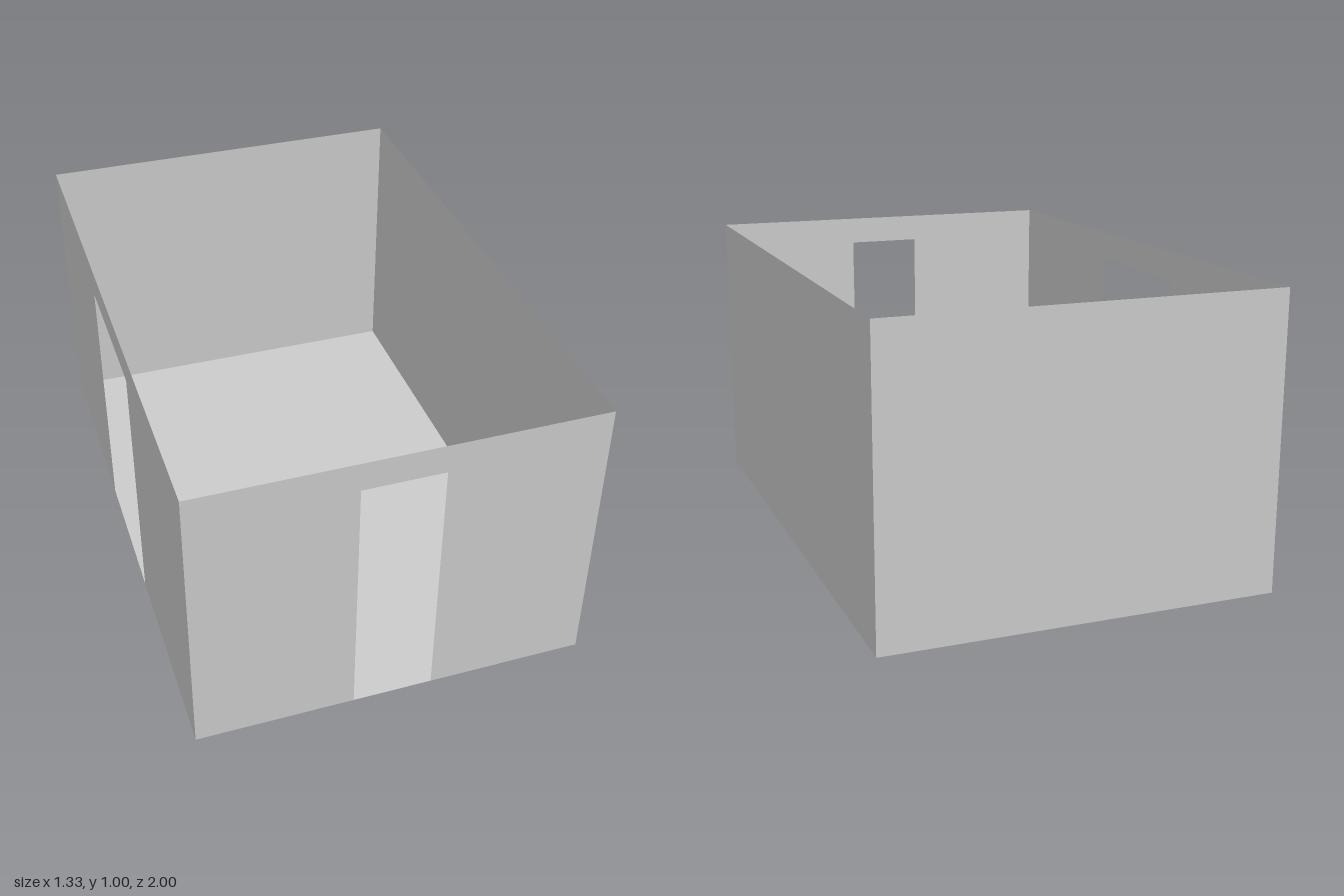
import * as THREE from 'three';

const WIDTH = 1.333, DEPTH = 2, HEIGHT = 1, DOOR_HEIGHT = 0.9;

// Thin upright wall standing on y = 0, with an optional centred doorway
function wallGeometry(length, doorWidth = 0) {
  const h = length / 2, d = doorWidth / 2;
  const outline = [[-h, 0]];
  if (d > 0) outline.push([-d, 0], [-d, DOOR_HEIGHT], [d, DOOR_HEIGHT], [d, 0]);
  outline.push([h, 0], [h, HEIGHT], [-h, HEIGHT]);
  return new THREE.ShapeGeometry(new THREE.Shape(outline.map(([x, y]) => new THREE.Vector2(x, y))));
}

export function createModel() {
  const room = new THREE.Group();
  room.name = 'room';
  const material = new THREE.MeshStandardMaterial({ color: 0xcccccc, side: THREE.DoubleSide });

  // Each wall is turned to face outward, then pushed out to its side
  const walls = [
    { name: 'frontWall', length: WIDTH, door: 0.27, turn: 0, offset: DEPTH / 2 },
    { name: 'leftWall', length: DEPTH, door: 0, turn: Math.PI / 2, offset: WIDTH / 2 },
    { name: 'backWall', length: WIDTH, door: 0, turn: Math.PI, offset: DEPTH / 2 },
    { name: 'rightWall', length: DEPTH, door: 0.535, turn: -Math.PI / 2, offset: WIDTH / 2 },
  ];
  for (const { name, length, door, turn, offset } of walls) {
    const wall = new THREE.Mesh(wallGeometry(length, door), material);
    wall.name = name;
    wall.rotation.y = turn;
    wall.position.set(Math.sin(turn) * offset, 0, Math.cos(turn) * offset);
    room.add(wall);
  }

  // Floor
  const floor = new THREE.Mesh(new THREE.PlaneGeometry(WIDTH, DEPTH), material);
  floor.name = 'floor';
  floor.rotation.x = -Math.PI / 2;
  room.add(floor);

  return room;
}
